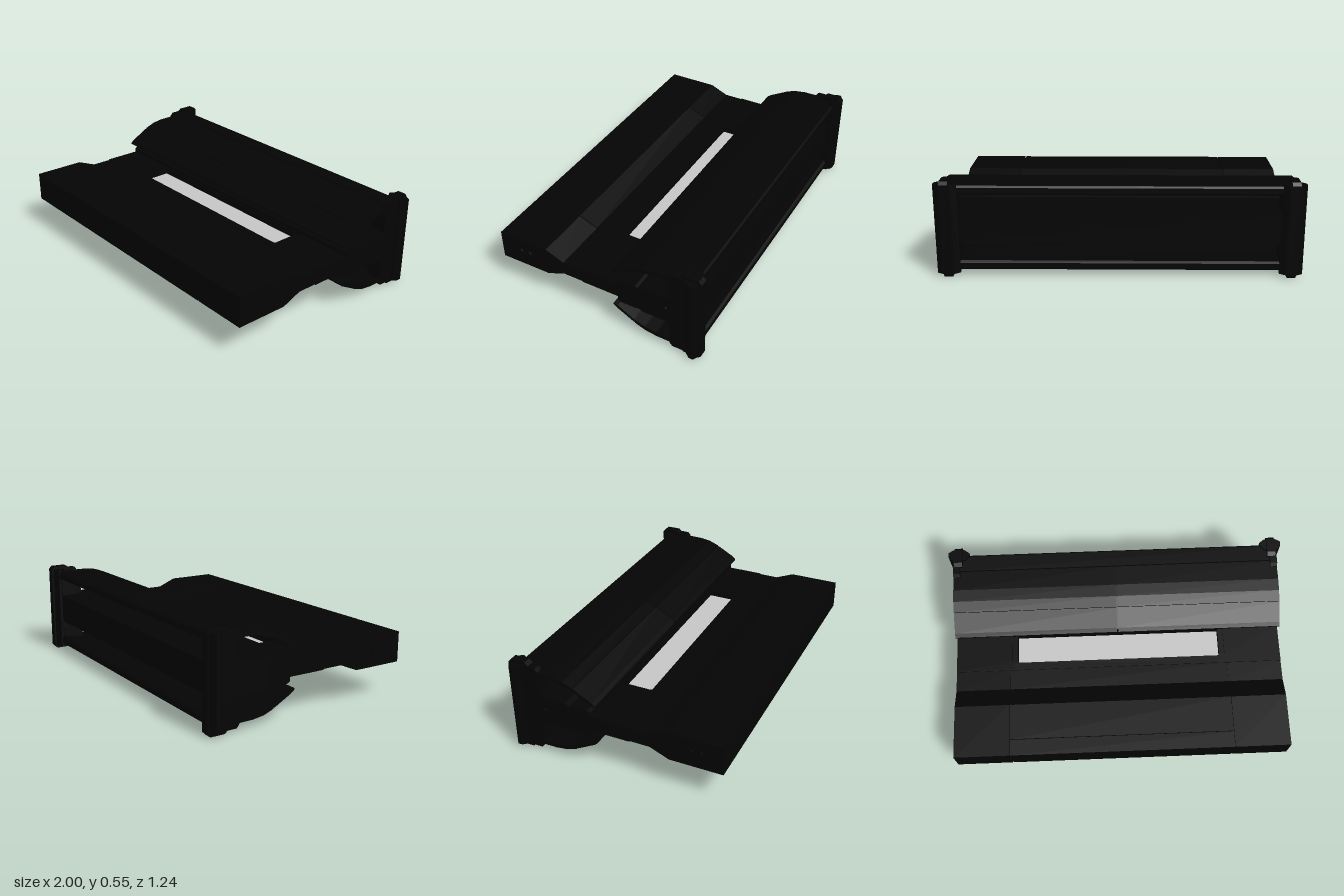
import * as THREE from 'three';

const MID = 0.275; // height of the horizontal mirror plane

export function createModel() {
  const black = new THREE.MeshStandardMaterial({ color: 0x040404 });
  black.name = 'matte black';
  const grey = new THREE.MeshStandardMaterial({ color: 0xc8c8c8 });
  grey.name = 'window grey';

  const model = new THREE.Group();
  model.name = 'finnedPanel';

  const add = (name, geo, mat = black) => {
    const mesh = new THREE.Mesh(geo, mat);
    mesh.name = name;
    model.add(mesh);
    return mesh;
  };

  // Sweeps a [z, y] outline along x from x0 to x1
  const sweep = (name, pts, x0, x1) => {
    const shape = new THREE.Shape(pts.map(([z, y]) => new THREE.Vector2(z, y)));
    const geo = new THREE.ExtrudeGeometry(shape, { depth: x1 - x0, bevelEnabled: false });
    geo.rotateY(-Math.PI / 2);
    geo.translate(x1, 0, 0);
    return add(name, geo);
  };
  // Closes a [z, half height] outline symmetrically about the mid plane
  const symmetric = (half) => [
    ...half.map(([z, h]) => [z, MID + h]),
    ...[...half].reverse().map(([z, h]) => [z, MID - h]),
  ];
  const flip = (pts) => pts.map(([z, y]) => [z, 2 * MID - y]);

  // Front slab: tapered ends, a central panel and a recessed core behind the seams
  const slab = symmetric([[0.622, 0.086], [0.32, 0.086], [0.21, 0.04], [0.09, 0.04]]);
  const core = symmetric([[0.621, 0.072], [0.31, 0.072], [0.21, 0.034], [0.09, 0.034]]);
  sweep('frontCore', core, -0.965, 0.965);
  sweep('frontEndRight', slab, -0.97, -0.649);
  sweep('frontEndLeft', slab, 0.649, 0.97);
  sweep('frontPanel', symmetric([[0.526, 0.086], [0.32, 0.086], [0.21, 0.04], [0.09, 0.04]]), -0.643, 0.643);
  sweep('frontStrip', symmetric([[0.622, 0.086], [0.532, 0.086]]), -0.643, 0.643);

  // Middle section: stacked frame layers around a deep opening, with a stepped lip
  const frameLayer = (name, y0, y1, halfWidth, front, corner) => {
    const frame = new THREE.Shape();
    frame.moveTo(-0.97, -0.14).lineTo(0.97, -0.14).lineTo(0.97, 0.092).lineTo(-0.97, 0.092);
    frame.closePath();
    const hole = new THREE.Path();
    hole.moveTo(-halfWidth, -0.125).lineTo(-halfWidth, front - corner);
    hole.quadraticCurveTo(-halfWidth, front, -halfWidth + corner, front);
    hole.lineTo(halfWidth - corner, front);
    hole.quadraticCurveTo(halfWidth, front, halfWidth, front - corner);
    hole.lineTo(halfWidth, -0.125);
    hole.closePath();
    frame.holes.push(hole);
    const geo = new THREE.ExtrudeGeometry(frame, { depth: y1 - y0, bevelEnabled: false, curveSegments: 5 });
    geo.rotateX(Math.PI / 2);
    geo.translate(0, y1, 0);
    add(name, geo);
  };
  frameLayer('windowFrame', MID - 0.037, MID + 0.037, 0.605, 0.043, 0.012);
  frameLayer('windowLipTop', MID + 0.037, MID + 0.045, 0.637, 0.084, 0.05);
  frameLayer('windowLipBottom', MID - 0.045, MID - 0.037, 0.637, 0.084, 0.05);
  add('window', new THREE.BoxGeometry(1.22, 0.008, 0.185), grey).position.set(0, MID, -0.04);

  // Rear body between the fins
  sweep('rearBody', symmetric([[-0.13, 0.07], [-0.15, 0.08], [-0.24, 0.08], [-0.255, 0.074],
    [-0.285, 0.086], [-0.575, 0.086]]), -0.97, 0.97);

  // Curved fins above and below, with a shallow seam at the centre
  const tip = [[-0.1, 0.384], [-0.125, 0.39], [-0.225, 0.448], [-0.225, 0.467], [-0.12, 0.41], [-0.1, 0.394]];
  const curve = [[-0.23, 0.449], [-0.29, 0.469], [-0.36, 0.482], [-0.48, 0.484],
    [-0.48, 0.505], [-0.36, 0.504], [-0.29, 0.494], [-0.23, 0.471]];
  const hinge = [[-0.21, 0.444], [-0.25, 0.46], [-0.25, 0.474], [-0.21, 0.455]];
  const seam = [[-0.115, 0.386], [-0.225, 0.45], [-0.29, 0.471], [-0.36, 0.483], [-0.48, 0.485],
    [-0.48, 0.499], [-0.36, 0.498], [-0.29, 0.488], [-0.225, 0.462], [-0.115, 0.402]];
  const rail = [[-0.475, 0.475], [-0.57, 0.465], [-0.585, 0.475], [-0.585, 0.505], [-0.575, 0.515], [-0.48, 0.515]];
  for (const [place, map] of [['upper', (p) => p], ['lower', flip]]) {
    for (const [side, x0, x1] of [['Right', -0.97, -0.004], ['Left', 0.004, 0.97]]) {
      sweep(`${place}FinTip${side}`, map(tip), x0, x1);
      sweep(`${place}FinCurve${side}`, map(curve), x0, x1);
      sweep(`${place}FinHinge${side}`, map(hinge), x0, x1);
    }
    sweep(`${place}FinSeam`, map(seam), -0.008, 0.008);
    sweep(`${place}FinRail`, map(rail), -0.96, 0.96);
  }

  // End brackets: low inner plate, tall outer plate, spine and an eight-sided post
  const innerPlate = symmetric([[-0.44, 0.225], [-0.58, 0.225]]);
  const outerPlate = symmetric([[-0.44, 0.235], [-0.455, 0.255], [-0.5, 0.255], [-0.59, 0.255]]);
  const spine = symmetric([[-0.5, 0.255], [-0.52, 0.273], [-0.605, 0.273], [-0.622, 0.255]]);
  for (const s of [1, -1]) {
    const side = s > 0 ? 'Left' : 'Right';
    const span = (a, b) => (s > 0 ? [a, b] : [-b, -a]);
    sweep(`innerPlate${side}`, innerPlate, ...span(0.88, 0.935));
    sweep(`outerPlate${side}`, outerPlate, ...span(0.93, 0.97));
    sweep(`endSpine${side}`, spine, ...span(0.915, 0.962));
    const post = new THREE.Shape();
    [[0.875, -0.575], [0.9, -0.545], [0.98, -0.545], [1, -0.57], [1, -0.595], [0.97, -0.612], [0.905, -0.612], [0.875, -0.59]]
      .forEach(([x, z], i) => (i ? post.lineTo(s * x, -z) : post.moveTo(s * x, -z)));
    post.closePath();
    const geo = new THREE.ExtrudeGeometry(post, { depth: 0.51, bevelEnabled: false });
    geo.rotateX(-Math.PI / 2);
    geo.translate(0, 0.02, 0);
    add(`endPost${side}`, geo);

    // Small studs on the outer sides
    for (const z of [-0.415, 0.44, 0.495]) {
      const stud = new THREE.CylinderGeometry(0.018, 0.018, 0.012, 12);
      stud.rotateZ(Math.PI / 2);
      add(`sideStud${side}`, stud).position.set(s * 0.971, MID, z);
    }
  }
  return model;
}
